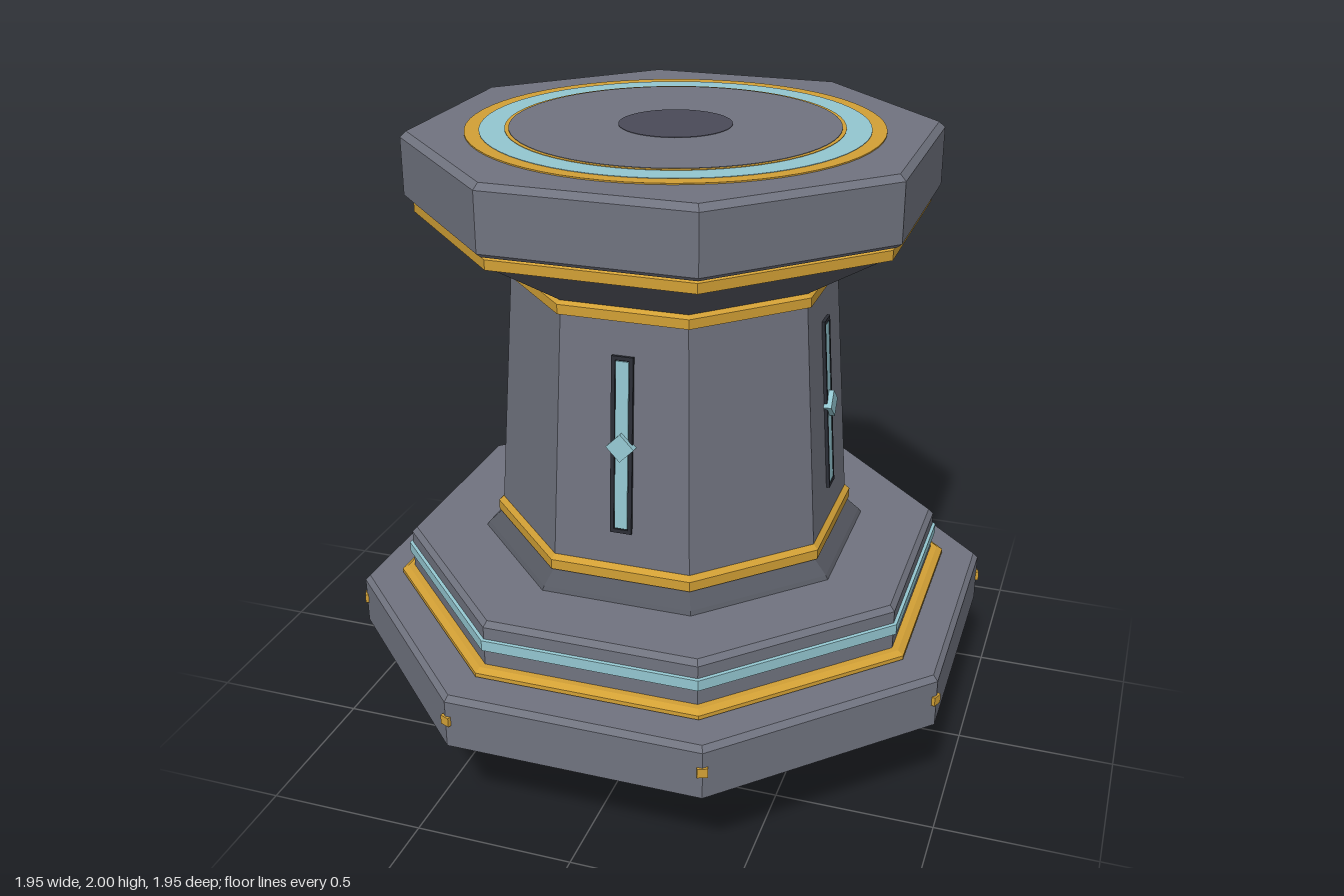
import * as THREE from 'three';

const mat = (name, color, extra = {}) => {
  const m = new THREE.MeshStandardMaterial({ color, flatShading: true, ...extra });
  m.name = name;
  return m;
};

export function createModel() {
  const stone = mat('stone grey', 0x70737f);
  const shade = mat('dark stone', 0x565962);
  const under = mat('underside charcoal', 0x2a2d35);
  const hub = mat('hub slate', 0x4a4a58);
  const gold = mat('gold', 0xd2a035);
  const glow = mat('pale blue', 0x93c6d0);
  const red = mat('red', 0xb51c2e, { side: THREE.DoubleSide });
  const silver = mat('light silver', 0xb4b8be);

  const model = new THREE.Group();
  model.name = 'pedestal';
  const add = (name, geo, material, parent = model) => {
    const m = new THREE.Mesh(geo, material);
    m.name = name;
    parent.add(m);
    return m;
  };

  // Octagonal ring of [apothem, y] pairs, flats facing the axes
  const K = 1 / Math.cos(Math.PI / 8);
  const oct = (name, material, pts) => add(name, new THREE.LatheGeometry(
    pts.map(([a, y]) => new THREE.Vector2(a * K, y)), 8, Math.PI / 8), material);

  // Base and stepped plinth
  oct('baseUnderside', under, [[0, 0.31], [0.965, 0.31]]);
  oct('baseSlab', stone, [[0.965, 0.31], [0.965, 0.465], [0.95, 0.482], [0, 0.482]]);
  oct('baseGoldTrim', gold, [[0.835, 0.482], [0.848, 0.49], [0.848, 0.503], [0.83, 0.515], [0.7, 0.515]]);
  oct('plinth', stone, [[0.81, 0.51], [0.81, 0.643], [0.795, 0.66], [0, 0.66]]);
  oct('plinthGlowBand', glow, [[0.8, 0.565], [0.82, 0.568], [0.82, 0.602], [0.8, 0.605]]);

  // Column with its flares and gold collars
  oct('columnFoot', shade, [[0.58, 0.66], [0.572, 0.672], [0.525, 0.72]]);
  oct('lowerCollar', gold, [[0.52, 0.715], [0.54, 0.718], [0.54, 0.75], [0.525, 0.765], [0.45, 0.765]]);
  oct('column', stone, [[0.525, 0.76], [0.473, 1.54]]);
  oct('upperCollar', gold, [[0.465, 1.532], [0.485, 1.538], [0.485, 1.568], [0.472, 1.578], [0.4, 1.578]]);
  oct('capFlare', shade, [[0.468, 1.575], [0.58, 1.65], [0.715, 1.74]]);
  oct('capGoldTrim', gold, [[0.69, 1.738], [0.735, 1.742], [0.735, 1.772], [0.72, 1.782]]);
  oct('cap', stone, [[0.71, 1.78], [0.745, 1.782], [0.76, 1.795], [0.76, 1.972], [0.742, 1.99], [0, 1.99]]);

  // Round inlay on the top
  const disc = (name, r, top, material) => {
    add(name, new THREE.CylinderGeometry(r, r, 0.008, 64), material).position.y = top - 0.004;
  };
  disc('topOuterGoldRing', 0.632, 1.994, gold);
  disc('topGlowRing', 0.588, 1.9955, glow);
  disc('topInnerGoldRing', 0.512, 1.997, gold);
  disc('topPlate', 0.5, 1.9985, stone);
  disc('topHub', 0.172, 2, hub);

  // Slot lights on the four axis-facing column sides
  const tilt = -Math.atan((0.525 - 0.473) / 0.78);
  for (let i = 0; i < 4; i++) {
    const side = new THREE.Group();
    side.name = 'slotLightSide';
    side.rotation.y = i * Math.PI / 2;
    model.add(side);
    const slot = new THREE.Group();
    slot.name = 'slotLight';
    slot.position.set(0, 1.152, 0.499);
    slot.rotation.x = tilt;
    side.add(slot);
    add('slotBack', new THREE.BoxGeometry(0.06, 0.55, 0.008), under, slot);
    for (const s of [-1, 1]) {
      add('slotSideFrame', new THREE.BoxGeometry(0.012, 0.56, 0.02), under, slot).position.x = s * 0.028;
      add('slotEndFrame', new THREE.BoxGeometry(0.068, 0.012, 0.02), under, slot).position.y = s * 0.274;
    }
    add('slotGlowBar', new THREE.BoxGeometry(0.04, 0.53, 0.018), glow, slot);
    const gem = add('slotDiamond', new THREE.BoxGeometry(0.062, 0.062, 0.05), glow, slot);
    gem.rotation.z = Math.PI / 4;
  }

  // Gold studs on the base corners
  for (let i = 0; i < 8; i++) {
    const a = Math.PI / 8 + i * Math.PI / 4;
    const stud = add('cornerStud', new THREE.BoxGeometry(0.032, 0.03, 0.03), gold);
    stud.position.set(Math.sin(a) * 1.034, 0.4, Math.cos(a) * 1.034);
    stud.rotation.y = a;
  }

  // Faceted gold pod hanging below the base
  const pod = add('hangingPod', new THREE.LatheGeometry(
    [[0, 0.003], [0.09, 0.055], [0.145, 0.12], [0.19, 0.21], [0.2, 0.32]]
      .map(([r, y]) => new THREE.Vector2(r, y)), 10), gold);
  pod.scale.z = 0.76;

  // Half wheel around the pod: red face, dark back and thin rim
  const half = (r, R) => new THREE.RingGeometry(r, R, 40, 1, Math.PI, Math.PI);
  const wheel = new THREE.Group();
  wheel.name = 'halfWheel';
  wheel.position.y = 0.3;
  model.add(wheel);
  add('wheelRedFace', half(0.2, 0.278), red, wheel).position.z = 0.02;
  const band = new THREE.CylinderGeometry(0.276, 0.276, 0.022, 40, 1, true, Math.PI / 2, Math.PI);
  band.rotateX(Math.PI / 2);
  band.rotateZ(Math.PI);
  const inner = half(0.17, 0.276);
  inner.rotateY(Math.PI);
  add('wheelBack', inner, under, wheel).position.z = -0.004;
  add('wheelRedBand', band, red, wheel).position.z = 0.01;
  const rim = add('wheelRim', new THREE.TorusGeometry(0.284, 0.008, 6, 40, Math.PI), shade, wheel);
  rim.rotation.z = Math.PI;

  // Chamfered block in front of the pod
  const block = new THREE.Group();
  block.name = 'frontBlock';
  block.position.set(0, 0.265, 0.353);
  model.add(block);
  const w = 0.108, d = 0.115, cw = 0.072, cd = 0.076;
  const outline = new THREE.Shape([[cw, d], [-cw, d], [-w, cd], [-w, -cd], [-cw, -d], [cw, -d], [w, -cd], [w, cd]]
    .map(([x, y]) => new THREE.Vector2(x, y)));
  const core = new THREE.ExtrudeGeometry(outline, { depth: 0.35, bevelEnabled: false });
  core.rotateX(-Math.PI / 2);
  core.translate(0, -0.175, 0);
  add('blockChamfers', core, silver, block);
  add('blockFrontBack', new THREE.BoxGeometry(cw * 2, 0.37, d * 2 + 0.004), stone, block);
  add('blockSides', new THREE.BoxGeometry(w * 2 + 0.004, 0.37, cd * 2), stone, block);

  // Round ports on the block's sides and underside
  const port = (x, y, z, rx, ry) => {
    const p = new THREE.Group();
    p.name = 'port';
    p.position.set(x, y, z);
    p.rotation.set(rx, ry, 0);
    block.add(p);
    add('portRing', new THREE.TorusGeometry(0.05, 0.012, 6, 24), silver, p);
    add('portFace', new THREE.CircleGeometry(0.045, 24), shade, p).position.z = 0.004;
  };
  port(0, 0.025, d, 0, 0);
  port(w, 0.025, 0, 0, Math.PI / 2);
  port(-w, 0.025, 0, 0, -Math.PI / 2);
  port(0, -0.185, 0, Math.PI / 2, 0);

  // Link between block and pod, and the small loop behind
  const link = add('link', new THREE.CylinderGeometry(0.022, 0.022, 0.14, 12), under);
  link.rotation.x = Math.PI / 2;
  link.position.set(0, 0.304, 0.19);
  const loop = add('rearLoop', new THREE.TorusGeometry(0.08, 0.005, 6, 24), under);
  loop.rotation.y = Math.PI / 2;
  loop.position.set(0, 0.368, -0.2);

  return model;
}
